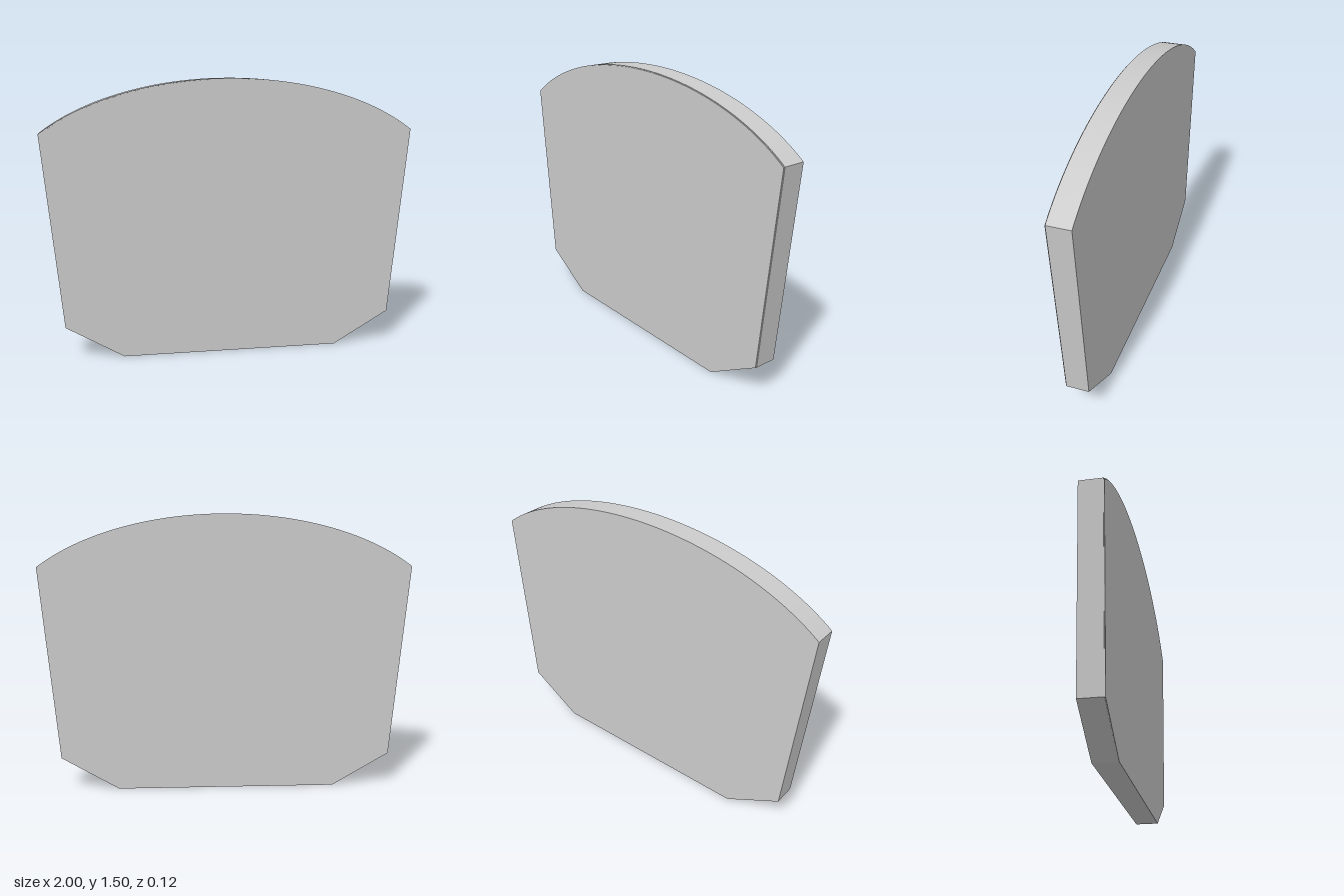
import * as THREE from 'three';

// Panel outline: flat base, clipped lower corners, flared sides, arched top
function outline(inset = 0) {
  const s = new THREE.Shape();
  const w = 1 - inset;
  s.moveTo(-0.595, 0);
  s.lineTo(0.595, 0);
  s.lineTo(0.905 - inset, 0.18);
  s.lineTo(w, 1.222 - inset);
  s.bezierCurveTo(0.77, 1.395 - inset, 0.4, 1.5 - inset, 0, 1.5 - inset);
  s.bezierCurveTo(-0.4, 1.5 - inset, -0.77, 1.395 - inset, -w, 1.222 - inset);
  s.lineTo(-0.905 + inset, 0.18);
  s.closePath();
  return s;
}

function slab(name, inset, z0, z1, material) {
  const geometry = new THREE.ExtrudeGeometry(outline(inset), {
    depth: z1 - z0, bevelEnabled: false, curveSegments: 32,
  });
  geometry.translate(0, 0, z0);
  const mesh = new THREE.Mesh(geometry, material);
  mesh.name = name;
  return mesh;
}

export function createModel() {
  const group = new THREE.Group();
  group.name = 'archedPanel';
  const material = new THREE.MeshStandardMaterial({ color: 0xcccccc });
  // Main board, with a thin facing set just inside its front edge
  group.add(slab('board', 0, -0.062, 0.058, material));
  group.add(slab('frontFacing', 0.004, 0.058, 0.062, material));
  return group;
}
